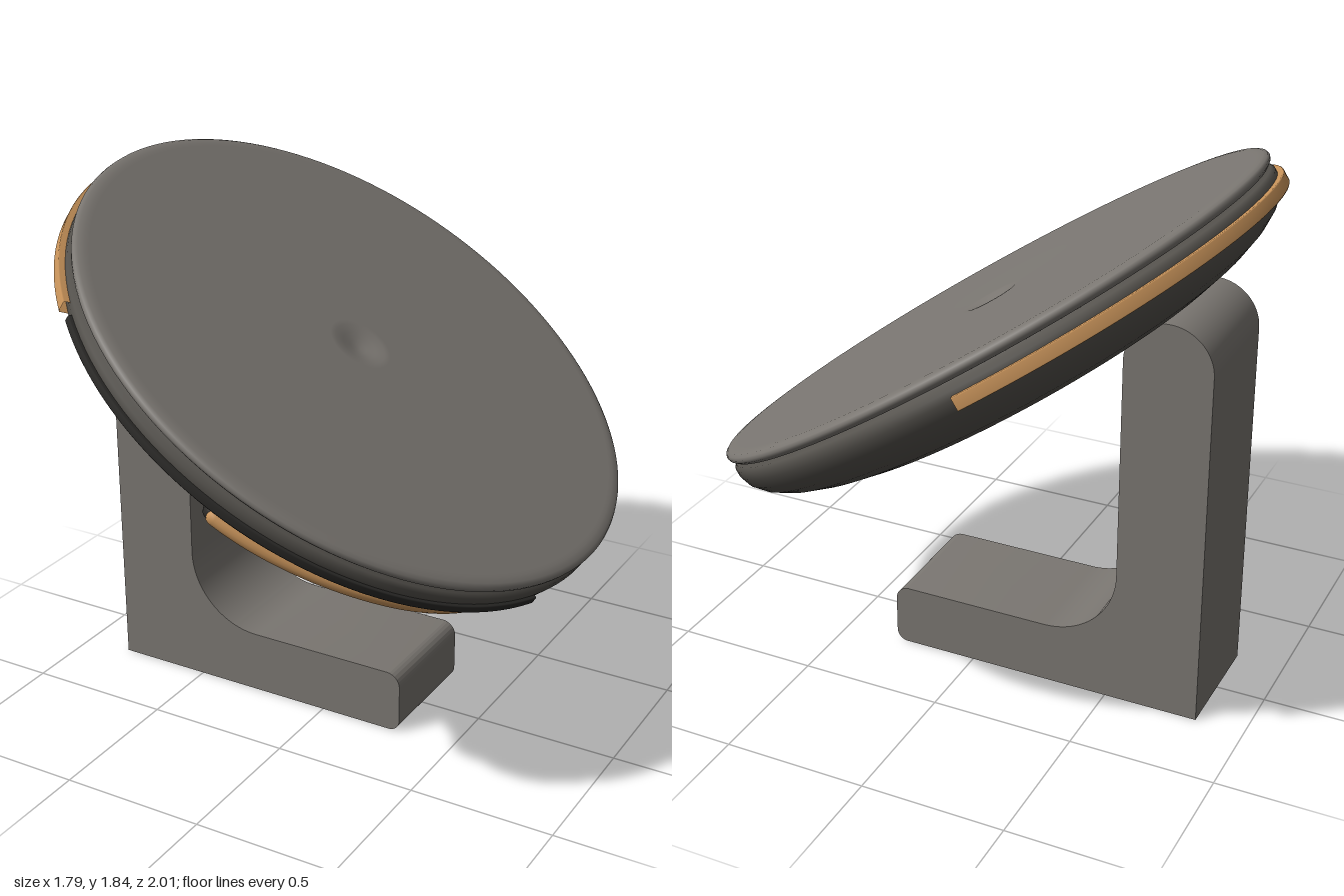
import * as THREE from 'three';
import { toCreasedNormals } from 'three/addons/utils/BufferGeometryUtils.js';

const mat = (name, color, side = THREE.FrontSide) => {
  const m = new THREE.MeshStandardMaterial({ color, side });
  m.name = name;
  return m;
};
const rad = THREE.MathUtils.degToRad;

export function createModel() {
  const grey = mat('warm grey', 0x7a7671);
  const charcoal = mat('charcoal', 0x54514c);
  const copper = mat('copper', 0xc8935a, THREE.DoubleSide);
  const black = mat('black trim', 0x2b2a28, THREE.DoubleSide);

  const model = new THREE.Group();
  model.name = 'tiltedDiscOnStand';
  const add = (parent, name, geometry, material) => {
    const mesh = new THREE.Mesh(geometry, material);
    mesh.name = name;
    parent.add(mesh);
    return mesh;
  };

  // L-shaped stand: rounded post top, filleted inner corner, rounded foot end
  const s = new THREE.Shape();
  s.moveTo(-0.83, 0);
  s.lineTo(0.26, 0);
  s.absarc(0.26, 0.04, 0.04, -Math.PI / 2, 0);
  s.lineTo(0.3, 0.17);
  s.absarc(0.25, 0.17, 0.05, 0, Math.PI / 2);
  s.lineTo(-0.27, 0.22);
  s.absarc(-0.27, 0.48, 0.26, -Math.PI / 2, -Math.PI, true);
  s.lineTo(-0.53, 1.265);
  s.absarc(-0.68, 1.265, 0.15, 0, Math.PI);
  s.closePath();
  const standGeo = new THREE.ExtrudeGeometry(s, { depth: 0.42, bevelEnabled: false, curveSegments: 20 });
  standGeo.translate(0, 0, -0.21);
  add(model, 'stand', toCreasedNormals(standGeo, rad(30)), grey);

  // Tilted disc; local y is the disc's axis
  const disc = new THREE.Group();
  disc.name = 'disc';
  disc.position.set(0.0175, 1.277, 0);
  disc.rotation.z = rad(-32.8);
  disc.scale.x = 1.02;
  model.add(disc);

  const lathe = (pts, start = 0, length = 360) => new THREE.LatheGeometry(
    pts.map(([r, y]) => new THREE.Vector2(r, y)), 128, rad(start), rad(length));

  // Shallow bowl with a flat underside and a groove under the lip
  add(disc, 'bowl', lathe([
    [0, -0.256], [0.58, -0.256], [0.6, -0.255], [0.605, -0.25], [0.66, -0.246], [0.74, -0.234],
    [0.83, -0.208], [0.9, -0.178], [0.95, -0.145], [0.982, -0.108], [0.995, -0.07],
    [0.995, -0.045], [0.985, -0.032], [0.96, -0.026], [0.95, -0.01],
  ]), charcoal);

  // Thin round top plate with a small central dimple
  add(disc, 'topPlate', lathe([
    [0.9, -0.022], [0.965, -0.022], [0.985, -0.019], [0.997, -0.008], [1, 0.002], [0.996, 0.011],
    [0.985, 0.018], [0.965, 0.021], [0.95, 0.021], [0.11, 0.021], [0.09, 0.02], [0.06, 0.013],
    [0.03, 0.005], [0.01, 0.002], [0, 0.002],
  ]), grey);

  // Raised strips around the rim
  const strip = (r, y0, y1, start, length) =>
    lathe([[0.96, y0], [r - 0.003, y0], [r, y0 + 0.004], [r, y1 - 0.004], [r - 0.003, y1], [0.96, y1]], start, length);
  add(disc, 'rearAccentStrip', strip(1.016, -0.104, -0.06, 200, 121), copper);
  add(disc, 'sideTrimStrip', strip(1.006, -0.1, -0.07, 323.5, 111), black);

  // Side grip: a round-ended bar bent along the bowl, with thickness f(t)
  const bar = (r, y, a0, a1, radius, f) => {
    const pts = Array.from({ length: 13 }, (_, i) => {
      const a = rad(a0 + (a1 - a0) * i / 12);
      return new THREE.Vector3(r * Math.cos(a), y - 0.008 * i / 12, r * Math.sin(a));
    });
    const curve = new THREE.CatmullRomCurve3(pts);
    const n = 80, sides = 14;
    const geo = new THREE.TubeGeometry(curve, n, radius, sides);
    const pos = geo.attributes.position;
    const len = curve.getLength(), v = new THREE.Vector3();
    for (let i = 0; i <= n; i++) {
      const t = i / n, c = curve.getPointAt(t);
      const end = Math.min(1, Math.min(t, 1 - t) * len / radius);
      const k = Math.sqrt(1 - (1 - end) ** 2) * f(t);
      for (let j = 0; j <= sides; j++) {
        const q = i * (sides + 1) + j;
        v.fromBufferAttribute(pos, q).sub(c).multiplyScalar(k).add(c);
        pos.setXYZ(q, v.x, v.y, v.z);
      }
    }
    geo.computeVertexNormals();
    return geo;
  };
  const waist = (t) => 1 - 0.3 * Math.sin(Math.PI * t) ** 2;
  add(disc, 'gripFrame', bar(0.872, -0.198, 84.5, 20, 0.036, (t) => 1 - 0.12 * Math.sin(Math.PI * t) ** 2), black);
  add(disc, 'gripInsert', bar(0.895, -0.199, 83, 22.5, 0.028, waist), copper);

  return model;
}
